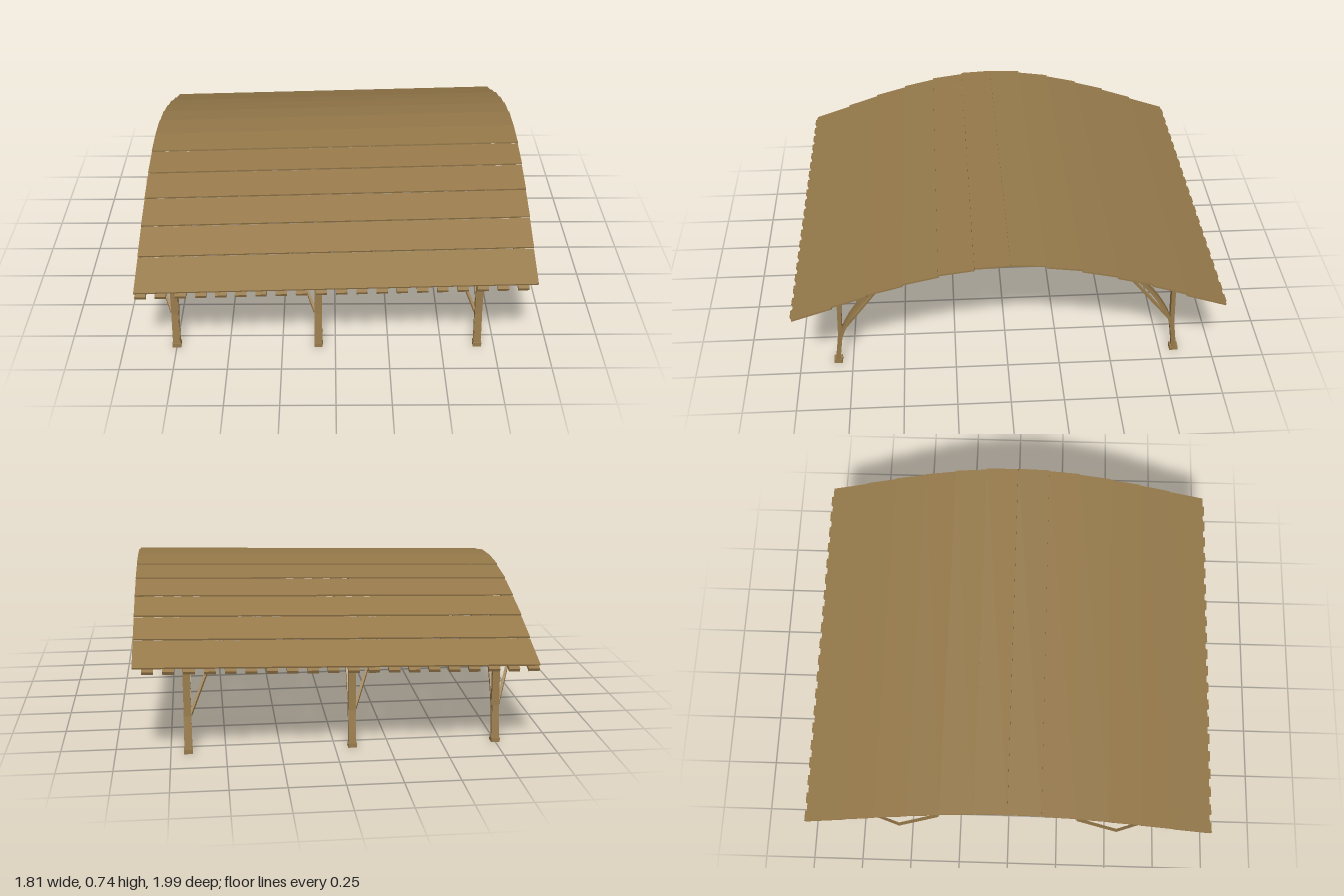
import * as THREE from 'three';

const TILT = 0.025; // roof rises towards +x
// Half roof profile [z, y] at x = 0, from ridge to eave
const ROOF = [[0, 0.717], [0.16, 0.705], [0.32, 0.675], [0.48, 0.63], [0.64, 0.577], [0.8, 0.515], [0.985, 0.443]];
// Half arch centre line [z, y], from crown to foot
const ARCH = [[0, 0.684], [0.16, 0.675], [0.32, 0.641], [0.48, 0.565], [0.62, 0.45], [0.72, 0.325], [0.785, 0.2], [0.81, 0.1], [0.82, 0.01]];

export function createModel() {
  const wood = new THREE.MeshStandardMaterial({ color: 0x977a4b });
  wood.name = 'brown wood';
  const root = new THREE.Group();
  root.name = 'archedShelter';

  const add = (parent, geo, name) => {
    const m = new THREE.Mesh(geo, wood);
    m.name = name;
    parent.add(m);
    return m;
  };
  const tilt = new THREE.Matrix4().set(1, 0, 0, 0, TILT, 1, 0, 0, 0, 0, 1, 0, 0, 0, 0, 1);

  // Mirror a half profile into a full one
  const mirror = (half) => [
    ...half.slice(1).reverse().map(([z, y]) => new THREE.Vector2(-z, y)),
    ...half.map(([z, y]) => new THREE.Vector2(z, y)),
  ];

  // Band of even thickness along a profile, extruded across x
  const band = (pts, up, down, width) => {
    const side = (d) => pts.map((p, i) => {
      const a = pts[Math.max(i - 1, 0)], b = pts[Math.min(i + 1, pts.length - 1)];
      const t = b.clone().sub(a).normalize();
      return new THREE.Vector2(p.x - t.y * d, p.y + t.x * d);
    });
    const shape = new THREE.Shape([...side(up), ...side(-down).reverse()]);
    const g = new THREE.ExtrudeGeometry(shape, { depth: width, bevelEnabled: false });
    return g.translate(0, 0, -width / 2).rotateY(Math.PI / 2);
  };

  // Rectangular beam between two points
  const beam = (parent, a, b, w, h, name) => {
    const p = new THREE.Vector3(...a), q = new THREE.Vector3(...b);
    const m = add(parent, new THREE.BoxGeometry(w, h, p.distanceTo(q)), name);
    m.position.copy(p).lerp(q, 0.5);
    m.lookAt(q);
  };

  // Overlapping roof planks
  const roof = new THREE.Group();
  roof.name = 'roof';
  root.add(roof);
  for (const s of [-1, 1]) {
    for (let i = 0; i < ROOF.length - 1; i++) {
      const [z0, y0] = ROOF[i], [z1, y1] = ROOF[i + 1];
      const dz = z1 - z0, lowY = y1 + 0.004, highY = i ? y0 - 0.004 : y0;
      const g = new THREE.BoxGeometry(1.8, 0.008, Math.hypot(dz, lowY - highY));
      g.rotateX(s * Math.atan2(highY - lowY, dz));
      g.translate(0, (highY + lowY) / 2 - 0.004, s * (z0 + z1) / 2);
      add(roof, g.applyMatrix4(tilt), 'roofPlank');
    }
  }

  // Curved rafters whose ends show at the eaves
  const rafterPts = mirror([...ROOF.slice(0, -1), [1.0, 0.437]]);
  for (let i = 0; i < 20; i++) {
    const g = band(rafterPts, -0.007, 0.022, 0.05);
    g.translate(-0.87 + i * 0.0897, 0, 0);
    add(roof, g.applyMatrix4(tilt), 'rafter');
  }

  // Three supporting frames
  const curve = new THREE.SplineCurve(mirror(ARCH));
  const archPts = curve.getPoints(48);
  for (const x of [-0.75, -0.08, 0.67]) {
    const frame = new THREE.Group();
    frame.name = 'frame';
    root.add(frame);
    add(frame, band(archPts, 0.008, 0.008, 0.036).translate(x, 0, 0), 'arch');
    const lift = (x + 0.75) * TILT;
    for (const s of [-1, 1]) {
      add(frame, new THREE.BoxGeometry(0.04, 0.02, 0.04).translate(x, 0.01, s * 0.82), 'foot');
      beam(frame, [x, 0.01, s * 0.822], [x, 0.17, s * 0.8], 0.03, 0.022, 'postBase');
      beam(frame, [x, 0.15, s * 0.801], [x, 0.465 + lift, s * 0.786], 0.034, 0.02, 'post');
      beam(frame, [x, 0.455 + lift, s * 0.787], [x, 0.492 + lift, s * 0.8], 0.034, 0.018, 'postHead');
      // Bent brace reaching out sideways to the roof
      const knee = [x - 0.15, 0.42 + lift * 0.5, s * 0.53];
      beam(frame, [x - 0.015, 0.175, s * 0.795], knee, 0.012, 0.012, 'lowerBrace');
      beam(frame, knee, [x - 0.15, 0.638 + lift, s * 0.33], 0.012, 0.012, 'upperBrace');
    }
  }
  return root;
}
